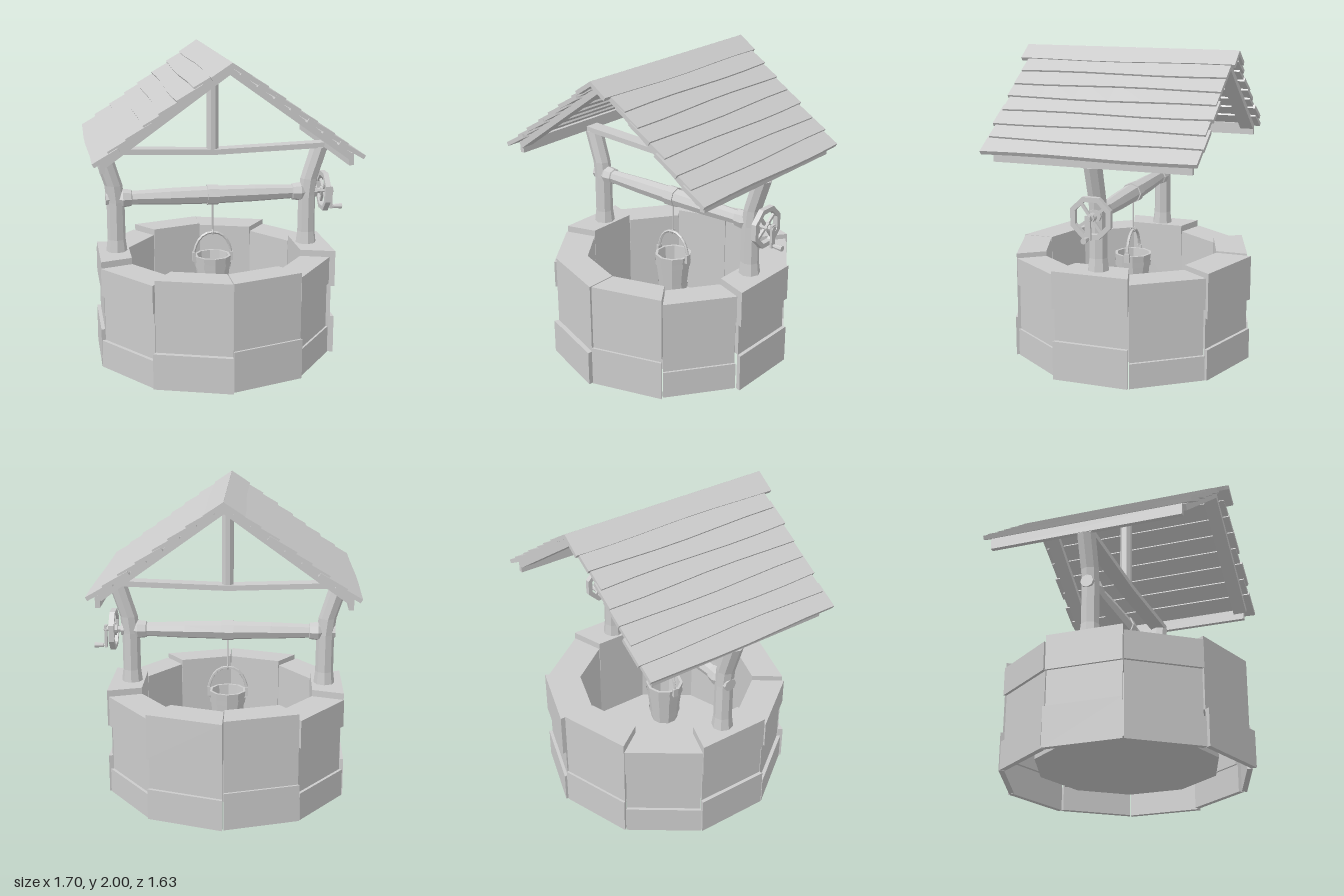
import * as THREE from 'three';

const material = new THREE.MeshStandardMaterial({ color: 0xcccccc, flatShading: true, side: THREE.DoubleSide });
const CX = -0.03; // axis of the well
const CZ = -0.01; // plane of the timber frame

function add(parent, name, geometry, x = 0, y = 0, z = 0) {
  const mesh = new THREE.Mesh(geometry, material);
  mesh.name = name;
  mesh.position.set(x, y, z);
  parent.add(mesh);
  return mesh;
}

// Move every vertex of a geometry by a rule.
function reshape(geometry, rule) {
  const p = geometry.attributes.position;
  const v = new THREE.Vector3();
  for (let i = 0; i < p.count; i++) {
    rule(v.fromBufferAttribute(p, i));
    p.setXYZ(i, v.x, v.y, v.z);
  }
  geometry.computeVertexNormals();
  return geometry;
}

// Wedge-shaped block of the ring wall.
function stoneGeometry(sector, y0, y1, inner, outer) {
  const step = Math.PI / 5;
  return reshape(new THREE.BoxGeometry(1, 1, 1), (v) => {
    const a = (sector + 0.5 + v.x * 0.985) * step;
    const r = v.z > 0 ? outer : inner;
    v.set(r * Math.sin(a), v.y > 0 ? y1 : y0, r * Math.cos(a));
  });
}

// Turned timber: rings of [along, sideways offset, radius].
function turnedGeometry(rings) {
  const n = rings.length - 1;
  return reshape(new THREE.CylinderGeometry(1, 1, 1, 8, n), (v) => {
    const [y, offset, r] = rings[Math.round((v.y + 0.5) * n)];
    v.set(v.x * r + offset, y, v.z * r);
  });
}

function buildWall(root) {
  const wall = new THREE.Group();
  wall.name = 'stoneWall';
  wall.position.x = CX;
  root.add(wall);
  // Each column, bottom to top: [height of top, outer radius]
  const columns = [
    [[0.26, 0.79], [0.69, 0.775]],
    [[0.18, 0.772], [0.48, 0.758], [0.66, 0.772]],
    [[0.25, 0.81], [0.46, 0.785], [0.7, 0.81]],
    [[0.16, 0.8], [0.46, 0.78], [0.66, 0.8]],
    [[0.2, 0.812], [0.4, 0.79], [0.69, 0.812]],
    [[0.24, 0.8], [0.7, 0.785]],
    [[0.18, 0.795], [0.48, 0.775], [0.66, 0.795]],
    [[0.25, 0.8], [0.48, 0.775], [0.7, 0.79]],
    [[0.18, 0.8], [0.48, 0.775], [0.66, 0.795]],
    [[0.23, 0.815], [0.69, 0.782]],
  ];
  columns.forEach((stones, s) => {
    let y = 0;
    stones.forEach(([top, outer], k) => {
      // Only the coping stones reach through to the shaft
      const coping = k === stones.length - 1;
      add(wall, coping ? 'copingStone' : 'facingStone', stoneGeometry(s, y, top, coping ? 0.58 : outer - 0.035, outer));
      y = top;
    });
  });
  add(wall, 'shaftLining', new THREE.CylinderGeometry(0.585, 0.585, 0.55, 10, 1, true), 0, 0.365);
  const floor = add(wall, 'wellFloor', new THREE.CircleGeometry(0.585, 10, Math.PI / 2), 0, 0.09);
  floor.rotation.x = -Math.PI / 2;
}

function buildFrame(root) {
  // Bent posts, mirrored about the axis
  for (const side of [-1, 1]) {
    const rings = [[0.62, 0.635, 0.07], [0.7, 0.635, 0.069], [0.78, 0.635, 0.059],
      [1.03, 0.636, 0.058], [1.14, 0.648, 0.058], [1.35, 0.715, 0.06]];
    add(root, 'post', turnedGeometry(rings.map(([y, x, r]) => [y, x * side, r])), CX, 0, CZ);
  }
  // Tie beam, sagging a little at the middle
  add(root, 'tieBeam', reshape(new THREE.BoxGeometry(1.52, 0.035, 0.1, 4), (v) => {
    v.y -= 0.025 * (1 - Math.abs(v.x) / 0.76);
  }), CX, 1.367, CZ);
  const king = add(root, 'kingPost', new THREE.CylinderGeometry(0.04, 0.04, 0.6, 8), CX, 1.65, CZ);
  king.rotation.y = Math.PI / 8;
}

function buildRoof(root) {
  const slope = Math.atan2(0.575, 0.8);
  for (const side of [-1, 1]) {
    const half = new THREE.Group();
    half.name = side < 0 ? 'rightRoof' : 'leftRoof';
    half.position.set(CX, 1.99, 0);
    half.rotation.y = side < 0 ? Math.PI : 0;
    root.add(half);
    const pitch = new THREE.Group();
    pitch.name = 'slope';
    pitch.rotation.z = -slope;
    half.add(pitch);
    // Overlapping planks, with slightly wavy lower edges
    for (let i = 0; i < 8; i++) {
      const ridge = i === 0;
      const width = ridge ? 0.145 : 0.18;
      const plank = reshape(new THREE.BoxGeometry(width, 0.026, ridge ? 1.43 : 1.355, 1, 1, 6), (v) => {
        if (v.x > 0) v.x += 0.006 * Math.sin(v.z * 5 + i * 2.1 + side);
      });
      const shift = 0.009 * Math.sin(i * 3.7 + side * 2);
      add(pitch, 'roofPlank', plank, 0.142 + i * 0.122 - width / 2, -0.004, shift).rotation.z = ridge ? 0.04 : 0.1;
    }
    // Rafters near both gables
    for (const z of [-0.59, 0.59]) {
      add(pitch, 'rafter', new THREE.BoxGeometry(0.93, 0.04, 0.09), 0.475, -0.04, z);
    }
    add(half, 'eavesBeam', new THREE.BoxGeometry(0.03, 0.075, 1.25), 0.75, -0.6, side * CZ);
  }
}

function buildWinch(root) {
  const winch = new THREE.Group();
  winch.name = 'winch';
  winch.position.set(CX, 1.05, CZ);
  root.add(winch);
  const halfProfile = [[0.04, 0.06], [0.28, 0.056], [0.53, 0.046], [0.535, 0.055], [0.59, 0.062], [0.62, 0.045], [0.7, 0.042]];
  const profile = [...[...halfProfile].reverse().map(([x, r]) => [-x, 0, r]), ...halfProfile.map(([x, r]) => [x, 0, r])];
  add(winch, 'axle', turnedGeometry(profile)).rotation.z = -Math.PI / 2;
  // Rope wound round the axle
  add(winch, 'ropeCoil', new THREE.CylinderGeometry(0.068, 0.068, 0.075, 8)).rotation.z = Math.PI / 2;

  // Eight-sided wheel with spokes
  const wheel = new THREE.Group();
  wheel.name = 'wheel';
  wheel.position.x = 0.75;
  winch.add(wheel);
  const octagon = (r) => Array.from({ length: 8 }, (_, i) => {
    const a = (i + 0.5) * Math.PI / 4;
    return new THREE.Vector2(r * Math.cos(a), r * Math.sin(a));
  });
  const rim = new THREE.Shape(octagon(0.138));
  rim.holes.push(new THREE.Path(octagon(0.106)));
  const rimGeometry = new THREE.ExtrudeGeometry(rim, { depth: 0.035, bevelEnabled: false });
  rimGeometry.translate(0, 0, -0.0175);
  add(wheel, 'wheelRim', rimGeometry).rotation.y = Math.PI / 2;
  for (let i = 0; i < 4; i++) {
    const a = Math.PI / 4 + i * Math.PI / 2 - 0.15;
    add(wheel, 'spoke', new THREE.BoxGeometry(0.016, 0.1, 0.018), 0, 0.06 * Math.cos(a), 0.06 * Math.sin(a)).rotation.x = a;
  }
  const rod = (name, r, length, x, y) => {
    add(winch, name, new THREE.CylinderGeometry(r, r, length, 8), x, y).rotation.z = Math.PI / 2;
  };
  rod('wheelHub', 0.028, 0.05, 0.75, 0);
  rod('wheelShaft', 0.018, 0.15, 0.74, 0);

  // Crank
  add(winch, 'crankArm', new THREE.BoxGeometry(0.016, 0.15, 0.035), 0.803, -0.05);
  rod('crankPin', 0.009, 0.05, 0.825, -0.112);
  add(winch, 'crankGrip', new THREE.CylinderGeometry(0.019, 0.014, 0.06, 8), 0.849, -0.112).rotation.z = -Math.PI / 2;
}

function buildBucket(root) {
  const bucket = new THREE.Group();
  bucket.name = 'bucket';
  bucket.position.set(CX, 0, CZ);
  root.add(bucket);
  add(bucket, 'rope', new THREE.CylinderGeometry(0.006, 0.006, 0.2, 6), 0, 0.9);
  add(bucket, 'ropeKnot', new THREE.TorusGeometry(0.016, 0.006, 4, 6), 0, 0.797).rotation.y = Math.PI / 2;
  const arc = [[-0.125, 0.6], [-0.122, 0.67], [-0.092, 0.745], [-0.04, 0.788], [0.04, 0.788], [0.092, 0.745], [0.122, 0.67], [0.125, 0.6]];
  const path = new THREE.CatmullRomCurve3(arc.map(([x, y]) => new THREE.Vector3(x, y, 0)));
  add(bucket, 'bucketHandle', new THREE.TubeGeometry(path, 14, 0.01, 5));
  const section = [[0, 0.37], [0.09, 0.37], [0.09, 0.35], [0.124, 0.64], [0.106, 0.64], [0.078, 0.385], [0, 0.385]];
  add(bucket, 'bucketStaves', new THREE.LatheGeometry(section.map(([r, y]) => new THREE.Vector2(r, y)), 10));
  for (const y of [0.42, 0.58]) {
    const r = 0.09 + (y - 0.35) * 0.117 + 0.006;
    add(bucket, 'bucketHoop', new THREE.CylinderGeometry(r + 0.002, r - 0.002, 0.035, 10, 1, true), 0, y);
  }
  for (const x of [-0.125, 0.125]) add(bucket, 'handleLug', new THREE.BoxGeometry(0.02, 0.06, 0.035), x, 0.63);
}

export function createModel() {
  const well = new THREE.Group();
  well.name = 'well';
  buildWall(well);
  buildFrame(well);
  buildRoof(well);
  buildWinch(well);
  buildBucket(well);
  return well;
}
